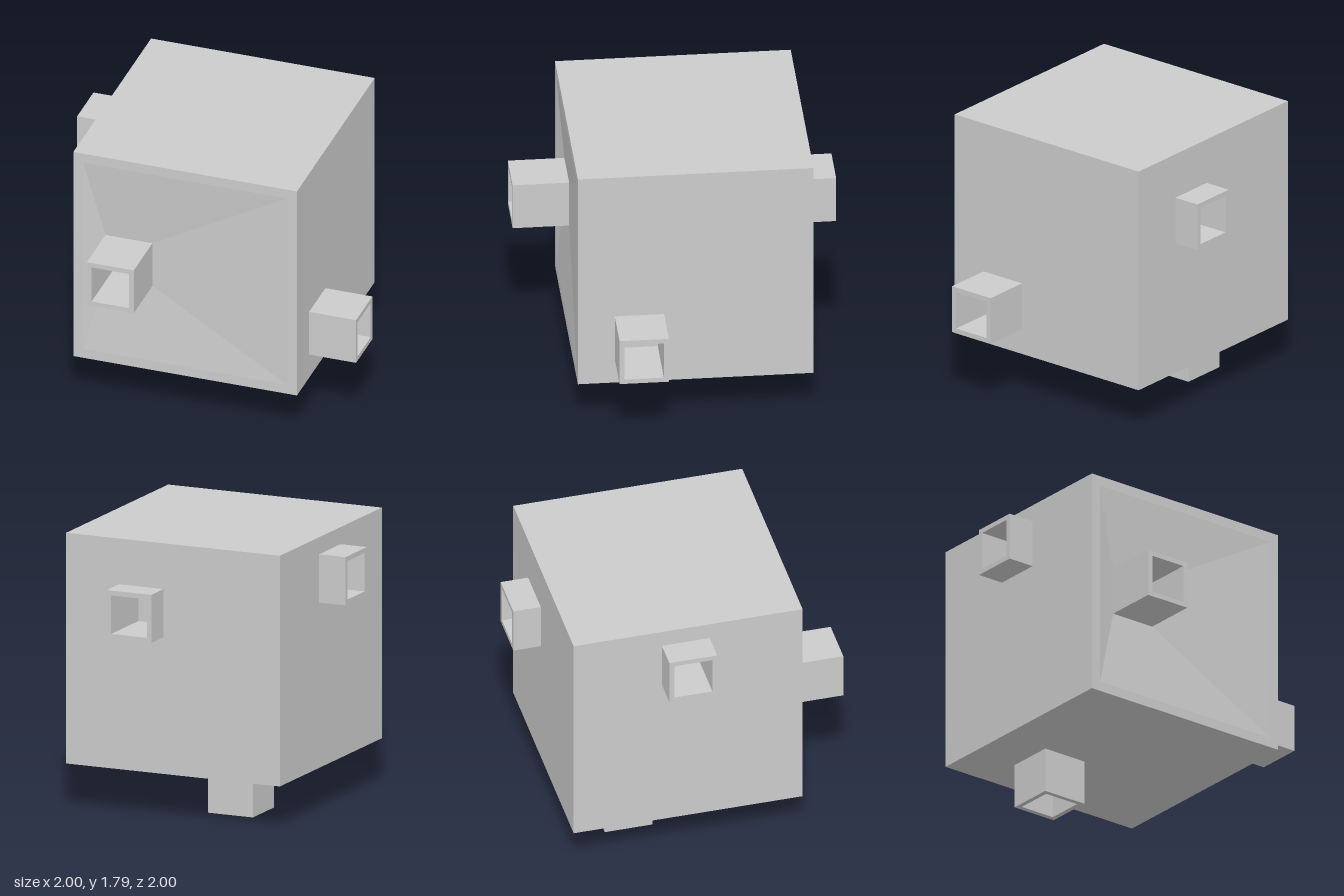
import * as THREE from 'three';

const HALF = 0.75;                                   // half the cube's side
const CENTRE = new THREE.Vector3(-0.065, 1.045, -0.07);
const OUTER = 0.157, INNER = 0.125;                  // half widths of a duct
const DUCT_LENGTH = 0.4;                             // ducts run on into the cube

// rotation of each side (local z points outward), and the centre of its duct mouth
const SIDES = [
  { name: 'front', rot: [0, 0, 0], mouth: [-0.455, 1.045, 1.0], recessed: true },
  { name: 'back', rot: [0, Math.PI, 0], mouth: [0.158, 1.34, -1.0] },
  { name: 'left', rot: [0, Math.PI / 2, 0], mouth: [1.0, 0.622, 0.288] },
  { name: 'right', rot: [0, -Math.PI / 2, 0], mouth: [-1.0, 1.527, -0.085] },
  { name: 'bottom', rot: [Math.PI / 2, 0, 0], mouth: [-0.33, 0, -0.373] },
  { name: 'top', rot: [-Math.PI / 2, 0, 0], mouth: null },
];

function square(cx, cy, h) {
  return [[-h, -h], [h, -h], [h, h], [-h, h]].map(([x, y]) => new THREE.Vector2(cx + x, cy + y));
}

function frame(outer, inner) {
  const shape = new THREE.Shape(outer);
  shape.holes.push(new THREE.Path(inner));
  return shape;
}

// four sloping panels from a square at height z0 to a smaller one at height z1
function funnel(a, z0, b, z1) {
  const pos = [];
  for (let i = 0; i < 4; i++) {
    const j = (i + 1) % 4;
    const p = [a[i].x, a[i].y, z0], q = [a[j].x, a[j].y, z0];
    const r = [b[j].x, b[j].y, z1], s = [b[i].x, b[i].y, z1];
    pos.push(...p, ...q, ...r, ...p, ...r, ...s);
  }
  const geo = new THREE.BufferGeometry();
  geo.setAttribute('position', new THREE.Float32BufferAttribute(pos, 3));
  geo.computeVertexNormals();
  return geo;
}

export function createModel() {
  const model = new THREE.Group();
  model.name = 'cubeWithDucts';
  const mat = new THREE.MeshStandardMaterial({ color: 0xcccccc, flatShading: true });
  const add = (group, name, geo) => {
    const mesh = new THREE.Mesh(geo, mat);
    mesh.name = name;
    group.add(mesh);
    return mesh;
  };

  for (const { name, rot, mouth, recessed } of SIDES) {
    const side = new THREE.Group();
    side.name = name + 'Side';
    side.position.copy(CENTRE);
    side.rotation.set(...rot);
    model.add(side);

    // plain wall
    if (!mouth) {
      add(side, name + 'Wall', new THREE.PlaneGeometry(2 * HALF, 2 * HALF)).position.z = HALF;
      continue;
    }

    // duct mouth in the side's own frame
    const m = new THREE.Vector3(...mouth).sub(CENTRE).applyQuaternion(side.quaternion.clone().invert());
    const wall = square(0, 0, HALF);

    // wall, either flat or sinking gently towards the duct
    const opening = recessed ? square(0, 0, HALF - 0.065) : square(m.x, m.y, INNER);
    add(side, name + 'Wall', new THREE.ShapeGeometry(frame(wall, opening))).position.z = HALF;
    if (recessed) {
      add(side, name + 'Recess', funnel(opening, HALF, square(m.x, m.y, OUTER), HALF - 0.04));
    }

    // open square duct, with its closed inner end
    const duct = new THREE.ExtrudeGeometry(
      frame(square(m.x, m.y, OUTER), square(m.x, m.y, INNER)),
      { depth: DUCT_LENGTH, bevelEnabled: false });
    add(side, name + 'Duct', duct).position.z = m.z - DUCT_LENGTH;
    add(side, name + 'DuctEnd', new THREE.PlaneGeometry(2 * INNER, 2 * INNER))
      .position.set(m.x, m.y, m.z - DUCT_LENGTH);
  }
  return model;
}
